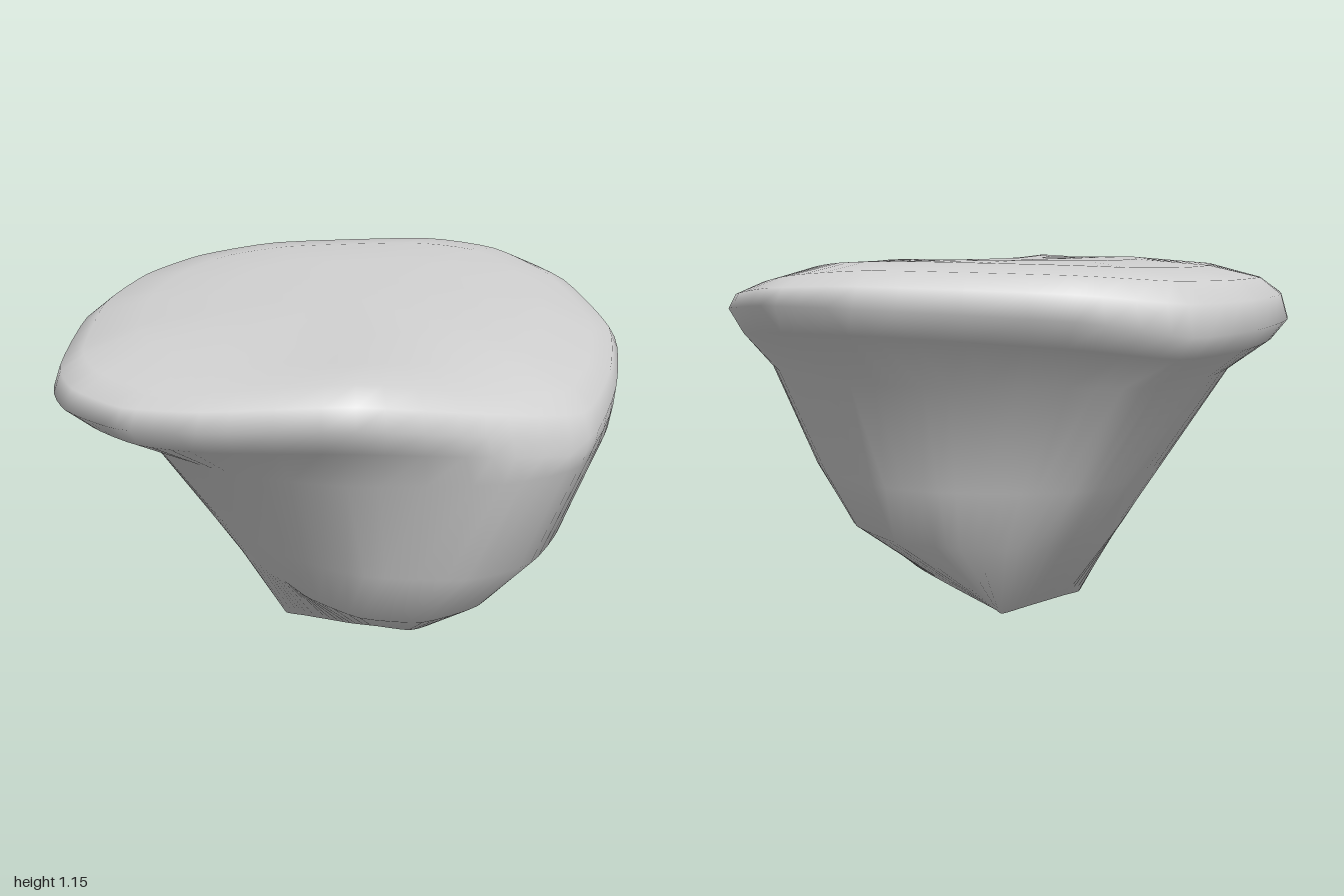
import * as THREE from 'three';

const COLUMNS = 16;
const SEGMENTS = 64;

// Ring outlines as x, z pairs, running from the left (+x) round the front to the back.
const footPlan = [.21, -.1, .21, .1, .2, .28, .12, .38, -.08, .38, -.14, .34, -.15, .22, -.16, .12,
  -.16, .02, -.16, -.08, -.16, -.16, -.09, -.16, 0, -.16, .1, -.16, .21, -.16, .21, -.13];
const lowerPlan = [.51, .02, .46, .27, .33, .46, .1, .57, -.15, .6, -.34, .52, -.43, .35, -.42, .15,
  -.38, .03, -.34, -.1, -.28, -.25, -.15, -.34, 0, -.37, .18, -.38, .33, -.3, .45, -.16];
const shoulderPlan = [.74, .02, .7, .34, .52, .63, .22, .82, -.12, .9, -.36, .79, -.63, .45, -.74, .16,
  -.75, -.02, -.71, -.2, -.6, -.38, -.38, -.6, -.1, -.72, .2, -.72, .39, -.52, .62, -.25];
const rimPlan = [1, 0, .9, .31, .59, .65, .26, .82, -.09, .91, -.41, .765, -.74, .56, -.94, .18,
  -1, -.06, -.96, -.3, -.84, -.48, -.45, -.77, -.09, -.91, .23, -.92, .52, -.75, .9, -.28];

// Heights round the widest line and round the upper edge.
const rimHeight = [1.03, 1, .96, .91, .87, .94, 1.01, .98, .96, .95, .95, .95, .95, .95, 1, 1.03];
const edgeHeight = [1.11, 1.07, 1.02, 1, .99, 1.04, 1.11, 1.07, 1.05, 1.05, 1.06, 1.08, 1.09, 1.1, 1.12, 1.13];

// Turn an outline into 3D points; height is a rule of the point and its index.
function ring(plan, height) {
  return Array.from({ length: COLUMNS }, (_, i) => {
    const x = plan[i * 2], z = plan[i * 2 + 1];
    return new THREE.Vector3(x, height(z, i), z);
  });
}

function smoothRing(points) {
  const curve = new THREE.CatmullRomCurve3(points, true, 'catmullrom', .3);
  return Array.from({ length: SEGMENTS }, (_, i) => curve.getPoint(i / SEGMENTS));
}

// Join the rings from bottom to top and close both ends.
function loft(rings, bottom, top) {
  const points = [...rings.flat(), bottom, top];
  const index = [];
  const last = (rings.length - 1) * SEGMENTS;
  const bottomId = points.length - 2, topId = points.length - 1;
  for (let i = 0; i < SEGMENTS; i++) {
    const j = (i + 1) % SEGMENTS;
    for (let r = 0; r < last; r += SEGMENTS) {
      index.push(r + i, r + SEGMENTS + i, r + j);
      index.push(r + j, r + SEGMENTS + i, r + SEGMENTS + j);
    }
    index.push(bottomId, i, j);
    index.push(topId, last + j, last + i);
  }
  const geometry = new THREE.BufferGeometry().setFromPoints(points);
  geometry.setIndex(index);
  geometry.computeVertexNormals();
  return geometry;
}

export function createModel() {
  const stone = new THREE.MeshStandardMaterial({ color: 0xd0d0d0 });
  stone.name = 'grey stone';

  // Tapering body, bulging at the front
  const foot = ring(footPlan, z => Math.max(0, (z + .16) * .17));
  const lower = ring(lowerPlan, () => .26);
  const shoulder = ring(shoulderPlan, () => .79);
  const middle = lower.map((p, i) => {
    const m = p.clone().lerp(shoulder[i], .36);
    m.z += Math.max(0, m.z) * .085;
    return m;
  });

  // Overhanging rim
  const rim = ring(rimPlan, (z, i) => rimHeight[i]);
  const underRim = rim.map((p, i) => {
    const m = shoulder[i].clone().lerp(p, .72);
    m.y = Math.max(m.y - .02, p.y - .08);
    return m;
  });
  const upperRim = rim.map((p, i) =>
    new THREE.Vector3(p.x * .975, THREE.MathUtils.lerp(p.y, edgeHeight[i], .6), p.z * .975));

  // Gently domed top, blending from the edge heights to a shallow saddle
  const topRing = (scale, blend) => rim.map((p, i) => {
    const x = p.x * scale, z = p.z * scale;
    const saddle = 1.125 + .02 * x - .03 * z + .04 * x * x;
    return new THREE.Vector3(x, THREE.MathUtils.lerp(edgeHeight[i], saddle, blend), z);
  });

  const rings = [foot, lower, middle, shoulder, underRim, rim, upperRim,
    topRing(.9, 0), topRing(.72, .6), topRing(.45, 1)].map(smoothRing);
  const boulder = new THREE.Mesh(
    loft(rings, new THREE.Vector3(.02, .035, .05), new THREE.Vector3(0, 1.125, 0)), stone);
  boulder.name = 'boulder';

  const group = new THREE.Group();
  group.name = 'rock';
  group.add(boulder);
  return group;
}
